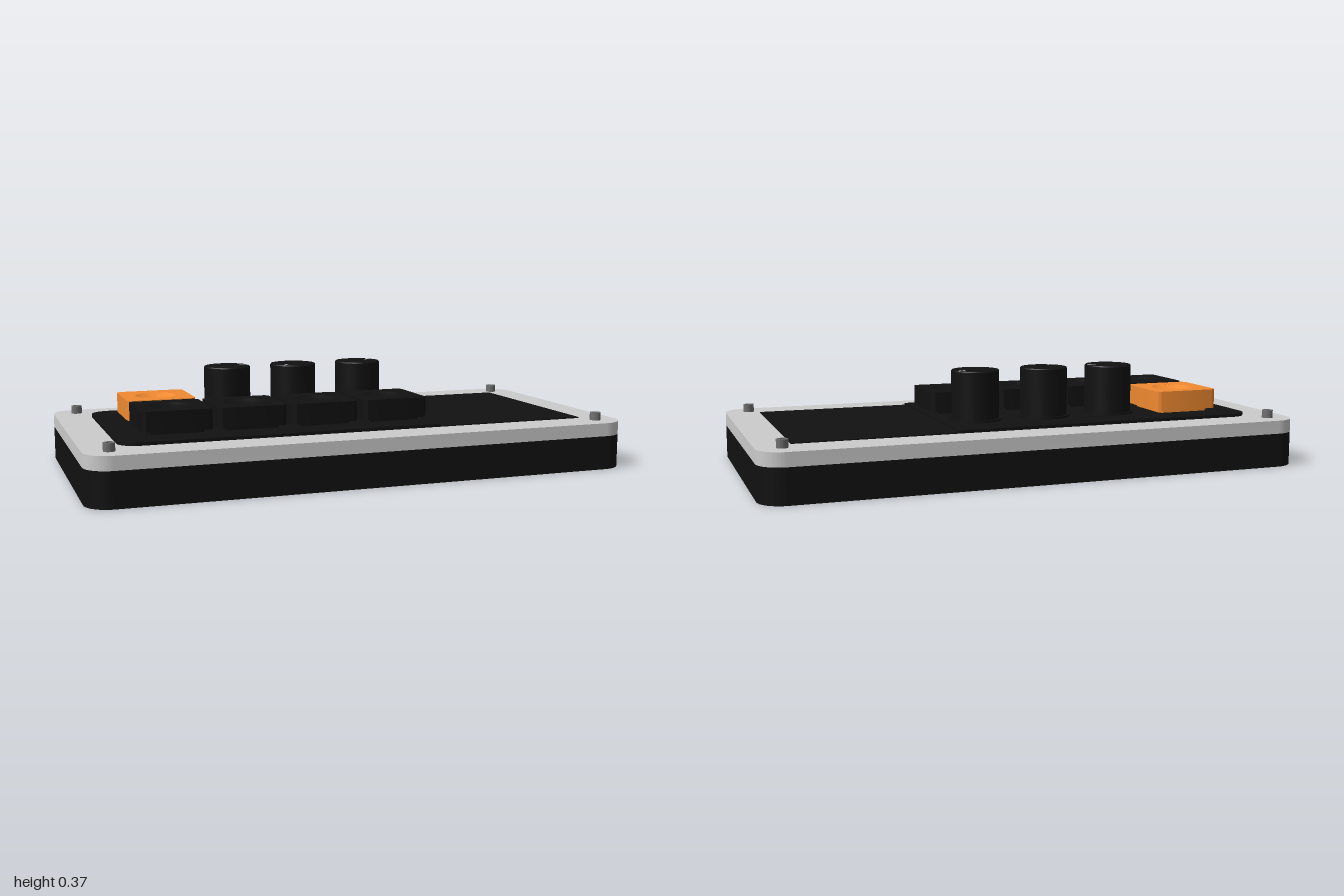
import * as THREE from 'three';
import { toCreasedNormals } from 'three/addons/utils/BufferGeometryUtils.js';

const material = (color) => new THREE.MeshStandardMaterial({ color });

// Rectangle with separate corner radii for its left and right ends
function roundedRect(x0, x1, z0, z1, rl, rr = rl) {
  const s = new THREE.Shape();
  const corner = (x, y, r, a) => r > 0 ? s.absarc(x, y, r, a, a + Math.PI / 2, false) : s.lineTo(x, y);
  s.moveTo(x0 + rl, z0);
  corner(x1 - rr, z0 + rr, rr, -Math.PI / 2);
  corner(x1 - rr, z1 - rr, rr, 0);
  corner(x0 + rl, z1 - rl, rl, Math.PI / 2);
  corner(x0 + rl, z0 + rl, rl, Math.PI);
  s.closePath();
  return s;
}

// Upright slab of a plan shape between two heights
function slab(name, shape, y0, y1, mat) {
  const geo = new THREE.ExtrudeGeometry(shape, { depth: y1 - y0, bevelEnabled: false, curveSegments: 12 });
  geo.rotateX(-Math.PI / 2).translate(0, y0, 0);
  const mesh = new THREE.Mesh(toCreasedNormals(geo, 0.5), mat);
  mesh.name = name;
  return mesh;
}

function lathe(name, points, mat, segments = 40) {
  const geo = new THREE.LatheGeometry(points.map(([r, y]) => new THREE.Vector2(r, y)), segments);
  const mesh = new THREE.Mesh(toCreasedNormals(geo, 0.5), mat);
  mesh.name = name;
  return mesh;
}

// Square key on a narrower stem, with a spherical finger dish
function makeKey(name, x, z, mat) {
  const key = new THREE.Group();
  key.name = name;
  const h = 0.127, r = 0.075, depth = 0.022, top = 0.27;
  const cap = roundedRect(-h, h, -h, h, 0.022);
  cap.holes.push(new THREE.Path().absarc(0, 0, r, 0, Math.PI * 2, true));
  const ball = (r * r + depth * depth) / (2 * depth);
  const dish = [];
  for (let i = 0; i <= 8; i++) {
    const d = r * (1 - i / 8);
    dish.push([d, top - depth + ball - Math.sqrt(ball * ball - d * d)]);
  }
  key.add(
    slab('keyStem', roundedRect(-0.102, 0.102, -0.102, 0.102, 0.015), 0.183, 0.2, mat),
    slab('keyCap', cap, 0.197, top, mat),
    lathe('keyDish', dish, mat, 48)
  );
  key.position.set(x, 0, z);
  return key;
}

// Round knob with a short pointer mark on its top
function makeKnob(x, z, angle, mat, markMat) {
  const knob = new THREE.Group();
  knob.name = 'knob';
  const body = lathe('knobBody', [
    [0, 0.184], [0.098, 0.184], [0.098, 0.192], [0.088, 0.192], [0.088, 0.366], [0.085, 0.37], [0, 0.37]
  ], mat, 48);
  const mark = new THREE.Mesh(new THREE.BoxGeometry(0.034, 0.004, 0.005), markMat);
  mark.name = 'knobPointer';
  mark.position.set(0.068, 0.3695, 0);
  knob.add(body, mark);
  knob.position.set(x, 0, z);
  knob.rotation.y = angle;
  return knob;
}

export function createModel() {
  const model = new THREE.Group();
  model.name = 'controlPad';
  const black = material(0x111111);
  const grey = material(0xcccccc);
  const orange = material(0xf08a30);
  const steel = material(0x707070);
  const white = material(0xeeeeee);

  // Case: dark tray with a pale frame around the panel
  model.add(slab('caseBase', roundedRect(-1, 1, -0.5, 0.5, 0.09), 0, 0.125, black));
  const frame = roundedRect(-1, 1, -0.5, 0.5, 0.09);
  frame.holes.push(new THREE.Path(roundedRect(-0.87, 0.875, -0.36, 0.36, 0.07, 0).getPoints(12)));
  model.add(slab('topFrame', frame, 0.125, 0.174, grey));

  // Keypad plate and the slightly lower screen beside it
  model.add(slab('keypadPlate', roundedRect(-0.87, 0.295, -0.36, 0.36, 0.07, 0), 0.12, 0.185, black));
  model.add(slab('screen', roundedRect(0.295, 0.875, -0.36, 0.36, 0), 0.12, 0.178, black));

  // Front row of keys, and the accent key behind the first one
  const columns = [-0.652, -0.383, -0.113, 0.16];
  columns.forEach((x) => model.add(makeKey('key', x, 0.132, black)));
  model.add(makeKey('accentKey', columns[0], -0.138, orange));

  // Knobs turned to different settings
  const angles = [0, -2.25, 0.5];
  [-0.373, -0.108, 0.162].forEach((x, i) => model.add(makeKnob(x, -0.142, angles[i], black, white)));

  // Corner screws with a hexagonal socket
  for (const x of [-0.912, 0.912]) for (const z of [-0.416, 0.416]) {
    const screw = new THREE.Group();
    screw.name = 'screw';
    screw.add(lathe('screwHead', [[0, 0.17], [0.02, 0.17], [0.02, 0.203], [0.011, 0.203]], steel, 24));
    screw.add(lathe('screwSocket', [[0.0125, 0.203], [0.0125, 0.188], [0, 0.188]], steel, 6));
    screw.position.set(x, 0, z);
    model.add(screw);
  }
  return model;
}
